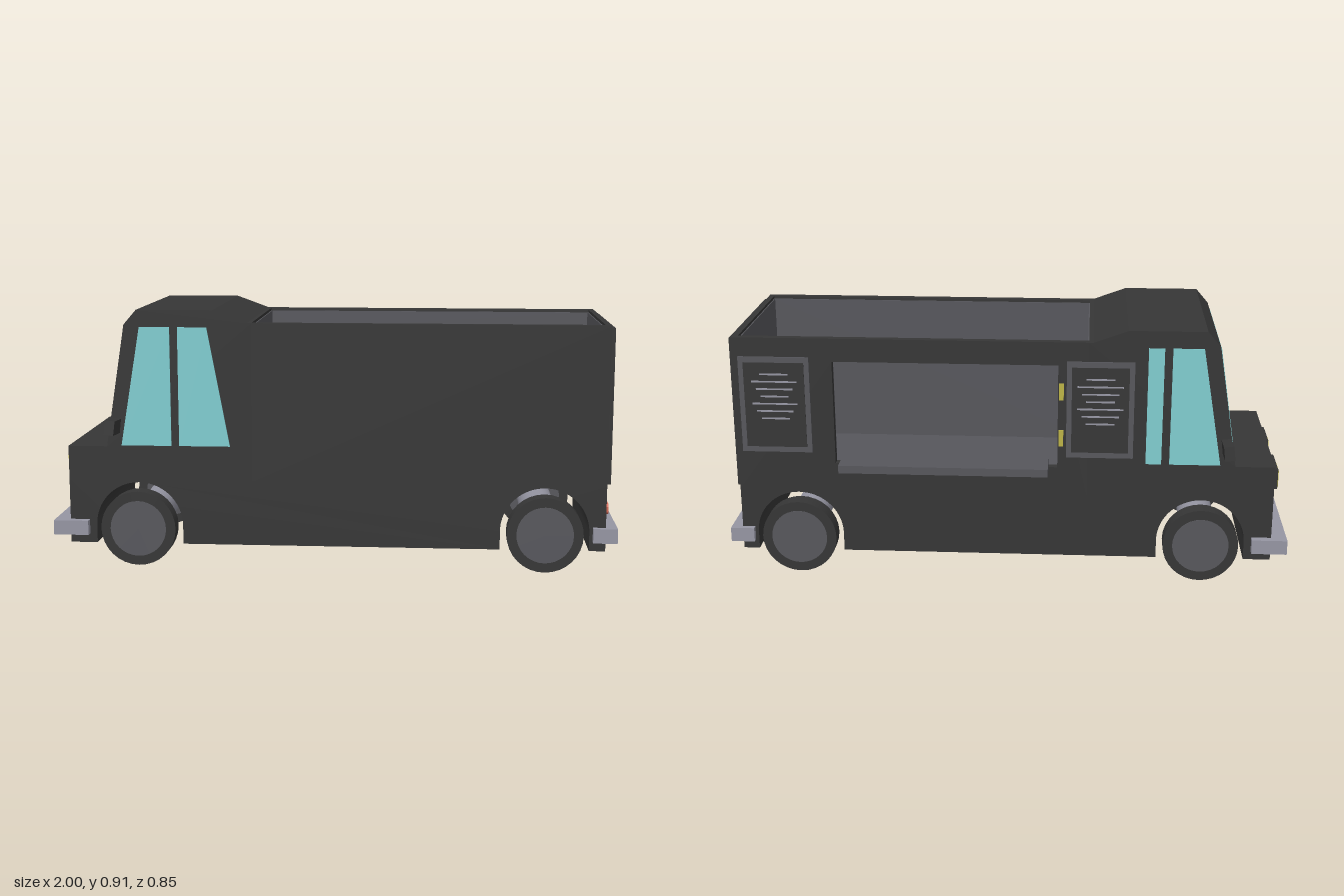
import * as THREE from 'three';

const mat = (name, color) => {
  const m = new THREE.MeshStandardMaterial({ color });
  m.name = name;
  return m;
};

export function createModel() {
  const body = mat('charcoal paint', 0x363636);
  const lining = mat('grey lining', 0x57575c);
  const metal = mat('light metal', 0x9696a3);
  const glass = mat('aqua glass', 0x80cdd0);
  const red = mat('tail red', 0xd06653);
  const yellow = mat('lamp yellow', 0xbdb446);

  const truck = new THREE.Group();
  truck.name = 'foodTruck';
  truck.position.z = 0.006;
  const W = 0.317; // half width of the body
  const FLOOR = 0.305, WALL = 0.868;

  const add = (name, geo, m) => {
    const mesh = new THREE.Mesh(geo, m);
    mesh.name = name;
    truck.add(mesh);
    return mesh;
  };
  // box given by its limits on each axis
  const box = (name, m, [x0, x1], [y0, y1], [z0, z1]) => {
    const mesh = add(name, new THREE.BoxGeometry(x1 - x0, y1 - y0, z1 - z0), m);
    mesh.position.set((x0 + x1) / 2, (y0 + y1) / 2, (z0 + z1) / 2);
    return mesh;
  };
  const poly = (pts) => new THREE.Shape(pts.map((p) => new THREE.Vector2(...p)));
  // side outline extruded across z
  const slab = (name, m, shape, z0, z1) => {
    const geo = new THREE.ExtrudeGeometry(shape, { depth: z1 - z0, bevelEnabled: false, curveSegments: 20 });
    geo.translate(0, 0, z0);
    return add(name, geo, m);
  };
  const rect = (x0, x1, y0, y1) => [[x0, y0], [x1, y0], [x1, y1], [x0, y1]];

  // lower hull with wheel arches cut right through
  const axles = [-0.693, 0.747];
  const hull = new THREE.Shape();
  hull.moveTo(-0.945, FLOOR);
  hull.lineTo(-0.945, 0.073);
  for (const c of axles) {
    hull.lineTo(c - 0.156, 0.073);
    hull.lineTo(c - 0.156, 0.14);
    hull.absarc(c, 0.14, 0.156, Math.PI, 0, true);
    hull.lineTo(c + 0.156, 0.073);
  }
  hull.lineTo(0.96, 0.073);
  hull.lineTo(0.96, FLOOR);
  slab('lowerHull', body, hull, -W, W);

  // hood and cab
  slab('cab', body, poly([
    [-0.945, FLOOR], [-0.285, FLOOR], [-0.285, WALL], [-0.3, WALL], [-0.42, 0.912],
    [-0.69, 0.912], [-0.735, 0.86], [-0.805, 0.425], [-0.945, 0.425],
  ]), -W, W);

  // open-topped rear box: plain wall, serving wall with hatch, rear wall
  const T = 0.027, X0 = -0.285, X1 = 0.96;
  const hatch = rect(-0.18, 0.61, 0.41, 0.785);
  const wallShape = (x1, y1) => poly(rect(X0, x1, FLOOR, y1));
  slab('plainWall', body, wallShape(X1, WALL), W - T, W);
  const serving = wallShape(X1, WALL);
  serving.holes.push(new THREE.Path(hatch.map((p) => new THREE.Vector2(...p))));
  slab('servingWall', body, serving, -W, -W + T);
  box('rearWall', body, [0.94, X1], [FLOOR, WALL], [-W + T, W - T]);

  // interior lining
  const I = W - T, L = 0.004;
  slab('plainWallLining', lining, wallShape(0.94, WALL - 0.01), I - L, I);
  const servingLining = wallShape(0.94, WALL - 0.01);
  servingLining.holes.push(new THREE.Path(hatch.map((p) => new THREE.Vector2(...p))));
  slab('servingWallLining', lining, servingLining, -I, -I + L);
  box('floor', lining, [X0, 0.94], [FLOOR, FLOOR + L], [-I, I]);
  box('bulkheadLining', lining, [X0, X0 + L], [FLOOR, WALL - 0.01], [-I, I]);
  box('rearLining', lining, [0.94 - L, 0.94], [FLOOR, WALL - 0.01], [-I, I]);

  // serving shelf below the hatch
  box('servingShelf', lining, [-0.15, 0.58], [0.415, 0.443], [-0.433, -W + T]);

  // menu boards: frame, dark panel and plain chalk strokes
  for (const [a, b] of [[-0.445, -0.21], [0.69, 0.94]]) {
    box('menuFrame', lining, [a, b], [0.45, 0.8], [-W - 0.006, -W]);
    box('menuPanel', body, [a + 0.018, b - 0.018], [0.47, 0.78], [-W - 0.008, -W]);
    for (let i = 0; i < 7; i++) {
      const y = 0.735 - i * 0.027, len = 0.1 + 0.03 * ((i * 2) % 3);
      const mid = (a + b) / 2;
      box('chalkStroke', metal, [mid - len / 2, mid + len / 2], [y, y + 0.006], [-W - 0.009, -W]);
    }
  }
  for (const y of [0.49, 0.66]) {
    box('hatchHinge', yellow, [-0.2, -0.183], [y, y + 0.06], [-W - 0.004, -W + 0.01]);
  }

  // cab glass
  const frontPane = [[-0.752, 0.43], [-0.573, 0.43], [-0.573, 0.852], [-0.68, 0.852]];
  const G = 0.004;
  slab('plainSideFrontGlass', glass, poly(frontPane), W, W + G);
  slab('plainSideRearGlass', glass,
    poly([[-0.545, 0.43], [-0.364, 0.43], [-0.442, 0.852], [-0.545, 0.852]]), W, W + G);
  slab('servingSideFrontGlass', glass, poly(frontPane), -W - G, -W);
  slab('servingSideRearGlass', glass, poly(rect(-0.545, -0.49, 0.43, 0.852)), -W - G, -W);
  slab('windshield', glass,
    poly([[-0.804, 0.45], [-0.795, 0.45], [-0.732, 0.845], [-0.741, 0.845]]), -0.287, 0.287);

  // bumpers
  box('frontBumper', metal, [-1, -0.875], [0.106, 0.158], [-0.345, 0.345]);
  box('rearBumper', metal, [0.915, 1], [0.106, 0.158], [-0.338, 0.338]);

  // tail lamp outline with clipped corners
  const lampShape = poly([
    [-0.095, -0.01], [-0.087, -0.018], [0.087, -0.018], [0.095, -0.01],
    [0.095, 0.01], [0.087, 0.018], [-0.087, 0.018], [-0.095, 0.01],
  ]);

  for (const s of [-1, 1]) {
    const span = (a, b) => (s > 0 ? [a, b] : [-b, -a]);
    // rear doors
    box('rearDoor', body, [0.96, 0.976], [0.307, 0.856], span(0.002, 0.286));
    // lamps
    box('headlampHousing', body, [-0.967, -0.945], [0.313, 0.387], span(0.078, 0.235));
    box('headlamp', yellow, [-0.97, -0.967], [0.32, 0.38], span(0.086, 0.227));
    const lamp = add('tailLamp', new THREE.ExtrudeGeometry(lampShape, { depth: 0.016, bevelEnabled: false }), red);
    lamp.rotation.y = Math.PI / 2;
    lamp.position.set(0.96, 0.207, s * 0.149);
    // mirrors, tilted slightly up
    const mirror = box('mirror', body, [-0.79, -0.755], [0.479, 0.53], span(0.3, 0.418));
    mirror.rotation.set(-s * 0.07, 0, -0.12);
    // wheels
    for (const x of axles) {
      const tyre = add('tyre', new THREE.CylinderGeometry(0.134, 0.134, 0.06, 32), body);
      tyre.rotation.x = Math.PI / 2;
      tyre.position.set(x, 0.134, s * 0.317);
      const hub = add('hub', new THREE.CylinderGeometry(0.1, 0.1, 0.064, 32), lining);
      hub.rotation.x = Math.PI / 2;
      hub.position.set(x, 0.134, s * 0.317);
    }
  }

  // axles
  for (const x of axles) {
    const axle = add('axle', new THREE.CylinderGeometry(0.065, 0.065, 0.58, 24), metal);
    axle.rotation.x = Math.PI / 2;
    axle.position.set(x, 0.134, 0);
  }
  return truck;
}
